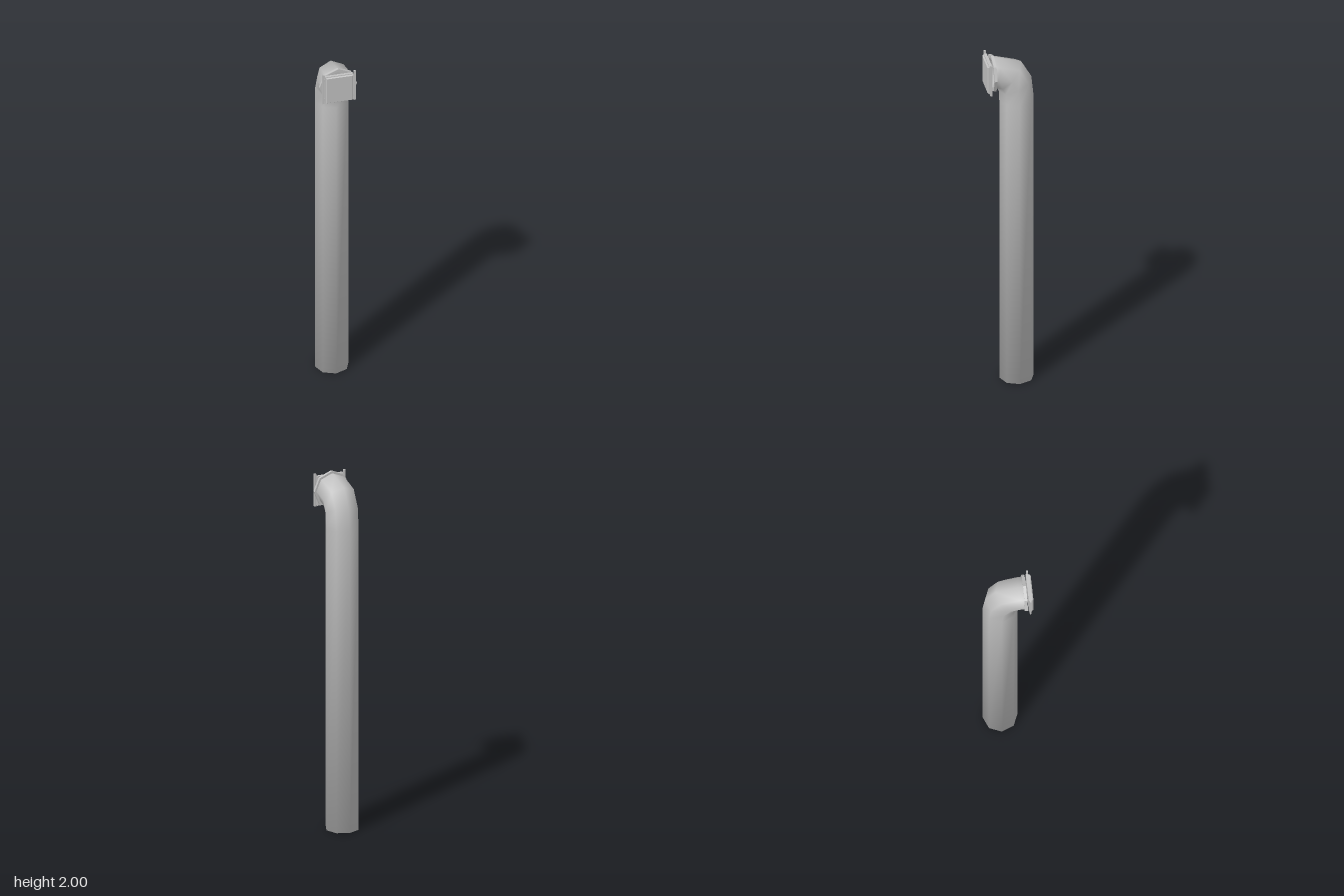
import * as THREE from 'three';

const SIDES = 8;
const metal = new THREE.MeshStandardMaterial({ color: 0xc0c0c0, side: THREE.DoubleSide });
metal.name = 'grey metal';

// Bent pipe: octagonal rings, each given by its outer and inner bend point [z, y]
function pipeGeometry() {
  const rings = [
    [[-0.135, 0], [0.055, 0]],
    [[-0.135, 1.72], [0.055, 1.72]],
    [[-0.122, 1.85], [0.058, 1.78]],
    [[-0.065, 1.95], [0.07, 1.803]],
    [[0.06, 1.985], [0.083, 1.808]],
    [[0.09, 1.988], [0.09, 1.802]],
  ];
  const positions = [], index = [];
  rings.forEach(([outer, inner], r) => {
    for (let i = 0; i < SIDES; i++) {
      const a = (i / SIDES) * Math.PI * 2;
      const t = (1 + Math.cos(a)) / 2;
      positions.push(
        Math.sin(a) * 0.094,
        THREE.MathUtils.lerp(inner[1], outer[1], t),
        THREE.MathUtils.lerp(inner[0], outer[0], t)
      );
      if (r === rings.length - 1) continue;
      const p = r * SIDES + i, q = r * SIDES + ((i + 1) % SIDES);
      index.push(p, p + SIDES, q, q, p + SIDES, q + SIDES);
    }
  });
  // Bottom cap shares the first ring, so shading rolls over the edge
  const centre = positions.length / 3;
  positions.push(0, 0, -0.04);
  for (let i = 0; i < SIDES; i++) index.push(centre, i, (i + 1) % SIDES);

  const geometry = new THREE.BufferGeometry();
  geometry.setAttribute('position', new THREE.Float32BufferAttribute(positions, 3));
  geometry.setIndex(index);
  geometry.computeVertexNormals();
  const normal = geometry.attributes.normal;
  for (let i = 0; i < SIDES; i++) normal.setY(i, -0.6);
  geometry.normalizeNormals();
  return geometry;
}

function octagon(PathType, radius) {
  const points = [];
  for (let i = 0; i < SIDES; i++) {
    const a = (i / SIDES) * Math.PI * 2;
    points.push(new THREE.Vector2(Math.cos(a) * radius, Math.sin(a) * radius));
  }
  return new PathType(points);
}

export function createModel() {
  const model = new THREE.Group();
  model.name = 'bentPipe';

  const add = (name, geometry, x, y, z) => {
    const mesh = new THREE.Mesh(geometry, metal);
    mesh.name = name;
    mesh.position.set(x, y, z);
    model.add(mesh);
    return mesh;
  };

  add('pipe', pipeGeometry(), 0, 0, 0);

  // Flange around the mouth
  const ring = octagon(THREE.Shape, 0.105);
  ring.holes.push(octagon(THREE.Path, 0.088));
  add('flange', new THREE.ExtrudeGeometry(ring, { depth: 0.016, bevelEnabled: false }), 0, 1.895, 0.085);

  // Cover plate with a bevelled front panel
  add('coverPlate', new THREE.BoxGeometry(0.156, 0.168, 0.016), 0, 1.89, 0.116);
  const w = 0.071, h = 0.077;
  const panel = new THREE.Shape([
    new THREE.Vector2(-w, -h), new THREE.Vector2(w, -h),
    new THREE.Vector2(w, h), new THREE.Vector2(-w, h),
  ]);
  add('coverPanel', new THREE.ExtrudeGeometry(panel, {
    depth: 0.004, bevelEnabled: true, bevelThickness: 0.005, bevelSize: 0.004, bevelSegments: 1,
  }), 0, 1.89, 0.125);

  // Side rails and the small pins that hold the plate
  for (const side of [-1, 1]) {
    const name = side > 0 ? 'left' : 'right';
    add(name + 'Rail', new THREE.BoxGeometry(0.011, 0.186, 0.01), side * 0.087, 1.895, 0.117);
    for (const y of [1.83, 1.95]) {
      add(name + 'Pin', new THREE.BoxGeometry(0.012, 0.012, 0.005), side * 0.079, y, 0.117);
    }
  }
  return model;
}
